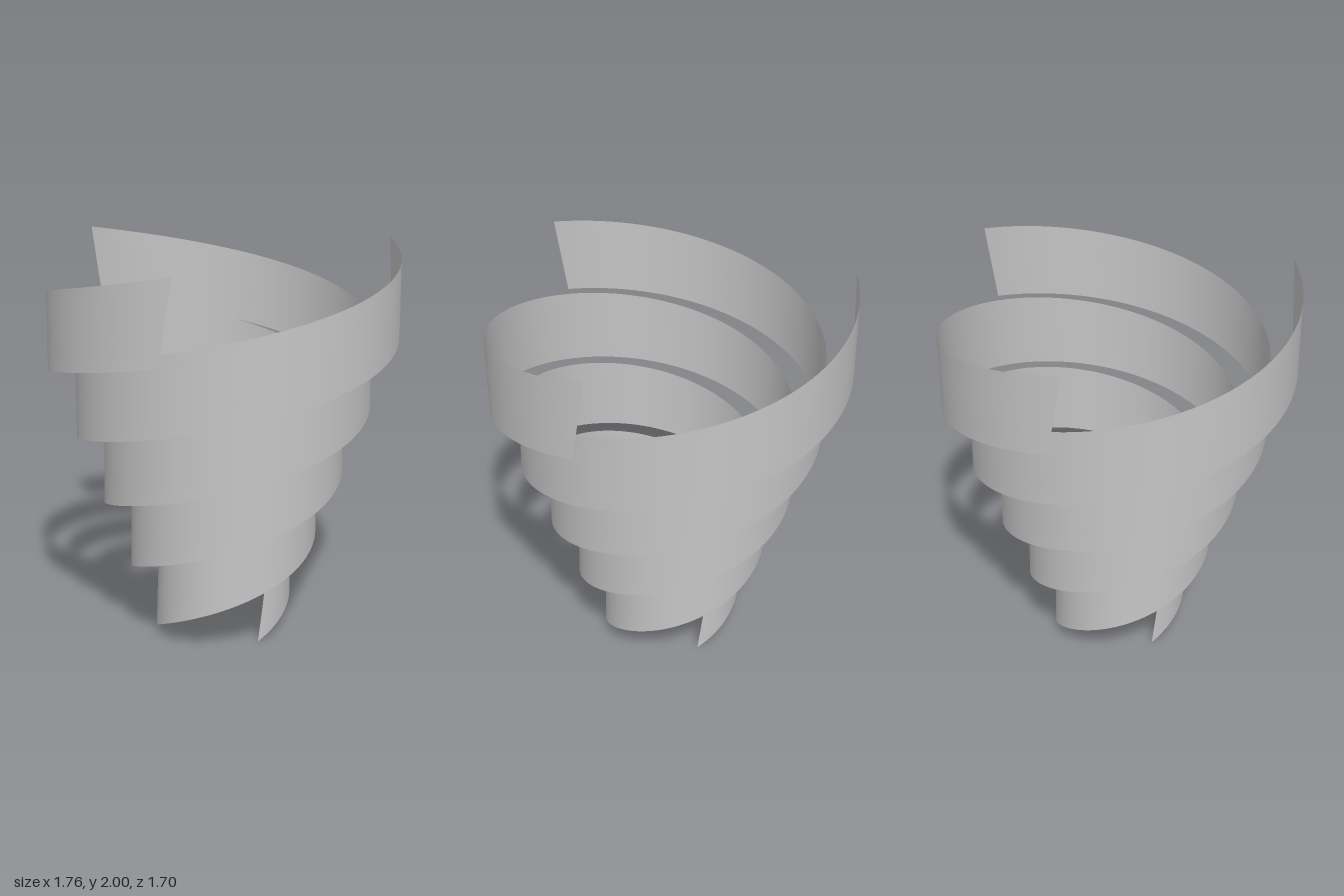
import * as THREE from 'three';

const ARMS = 3;
const SWEEP = THREE.MathUtils.degToRad(543.5);
const START = THREE.MathUtils.degToRad(6);
const R0 = 0.323, R1 = 0.909;   // spiral radius at foot and rim
const RISE = 1.595, BAND = 0.4; // climb of the lower edge, height of the ribbon
const LEAN = 0.065;             // the upper edge runs ahead along the spiral

// One ribbon: a plane strip wound up a widening helix
function ribbonGeometry(phase) {
  const g = new THREE.PlaneGeometry(1, 1, 180, 4);
  const p = g.attributes.position;
  for (let i = 0; i < p.count; i++) {
    const t = p.getX(i) + 0.5;
    const v = p.getY(i) + 0.5;
    const r = THREE.MathUtils.lerp(R0, R1, t);
    const a = phase - SWEEP * t - (LEAN * v) / r;
    p.setXYZ(i, r * Math.cos(a), 0.005 + RISE * t + BAND * v, r * Math.sin(a));
  }
  g.computeVertexNormals();
  return g;
}

export function createModel() {
  const group = new THREE.Group();
  group.name = 'spiralRibbons';
  const grey = new THREE.MeshStandardMaterial({ color: 0xc4c4c4, side: THREE.DoubleSide });
  grey.name = 'light grey';

  // Three identical ribbons around a slightly offset axis
  for (let k = 0; k < ARMS; k++) {
    const ribbon = new THREE.Mesh(ribbonGeometry(START + (k * 2 * Math.PI) / ARMS), grey);
    ribbon.name = `ribbon${k + 1}`;
    ribbon.position.set(0.027, 0, -0.035);
    group.add(ribbon);
  }
  return group;
}
